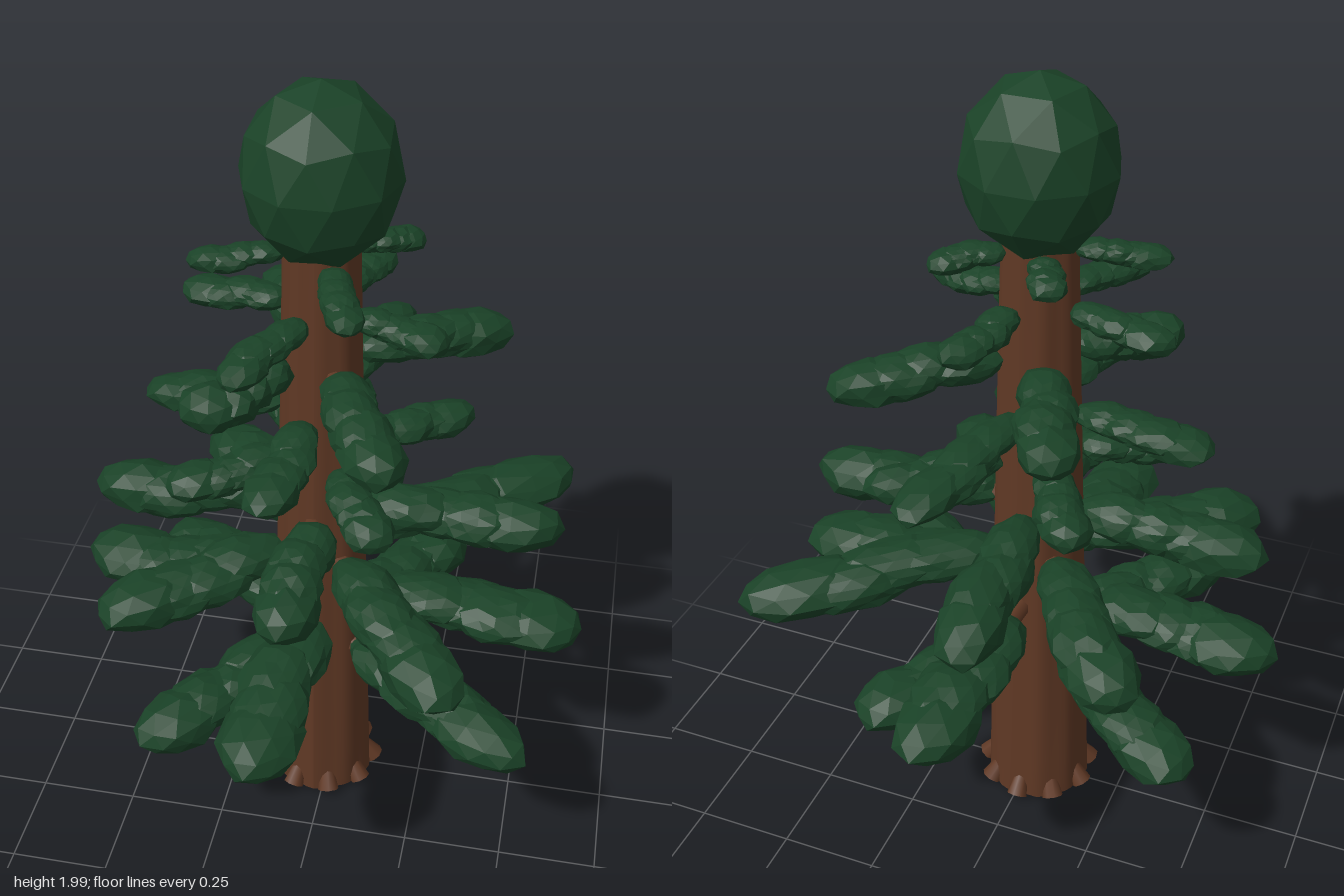
import * as THREE from 'three';

const bark = new THREE.MeshStandardMaterial({ color: 0x5f3824 });
const leaf = new THREE.MeshStandardMaterial({ color: 0x1a4227, flatShading: true });
const CX = -0.02; // trunk axis

// Tiers from bottom to top: height, half height and half width of the boughs,
// bough tips [x, z], and bare stick length before the needles
const TIERS = [
  [0.495, 0.063, 0.088, [[0.54, 0.37], [-0.37, 0.49], [-0.52, -0.36], [0.28, -0.46]]],
  [0.64, 0.062, 0.098, [[0.65, 0.03], [-0.07, 0.67], [-0.65, -0.04], [0.03, -0.67]], 0.05],
  [0.775, 0.065, 0.088, [[0.37, 0.50], [-0.50, 0.36], [-0.39, -0.47], [0.58, -0.46]]],
  [0.9, 0.064, 0.08, [[0.57, -0.03], [-0.03, 0.48], [-0.60, 0.00], [-0.05, -0.61]]],
  [1.05, 0.043, 0.062, [[0.17, 0.31], [-0.36, 0.19], [-0.22, -0.31], [0.31, -0.28]]],
  [1.185, 0.039, 0.065, [[-0.08, 0.42], [-0.46, -0.03], [0.10, -0.53]]],
  [1.315, 0.054, 0.073, [[0.20, 0.41], [-0.28, 0.27], [-0.21, -0.42], [0.39, -0.28]]],
  [1.455, 0.034, 0.052, [[0.28, 0.10], [-0.17, 0.33], [-0.36, -0.06], [0.08, -0.31]]],
  [1.595, 0.028, 0.044, [[0.10, 0.30], [-0.31, 0.07], [-0.12, -0.20], [0.19, -0.15]]],
];

function add(parent, name, geometry, material) {
  const mesh = new THREE.Mesh(geometry, material);
  mesh.name = name;
  parent.add(mesh);
  return mesh;
}

// Faceted ball with a vertex at its top; rough pushes its vertices in and out
function ball(detail, rough = 0, seed = 0) {
  const g = new THREE.IcosahedronGeometry(1, detail);
  g.rotateX(-Math.atan((1 + Math.sqrt(5)) / 2));
  const p = g.attributes.position;
  for (let i = 0; i < p.count; i++) {
    const x = p.getX(i), y = p.getY(i), z = p.getZ(i);
    const f = 1 + rough * Math.sin(11 * x + 17 * y + 23 * z + seed);
    p.setXYZ(i, x * f, y * f, z * f);
  }
  return g;
}

// Tapered trunk with shallow vertical flutes
function trunkGeometry() {
  const g = new THREE.CylinderGeometry(0.086, 0.132, 1.63, 40, 12);
  g.translate(0, 0.83, 0);
  const p = g.attributes.position;
  for (let i = 0; i < p.count; i++) {
    const x = p.getX(i), y = p.getY(i), z = p.getZ(i);
    const a = Math.atan2(z, x);
    const f = 1 + 0.025 * Math.sin(9 * a + 0.8 * y) + 0.015 * Math.sin(5 * a - 2 * y);
    p.setXYZ(i, x * f, y, z * f);
  }
  g.computeVertexNormals();
  return g;
}

// One bough along local +x: a stick carrying overlapping clumps that grow outward
function makeBough(reach, y, h, w, gap, seed) {
  const bough = new THREE.Group();
  bough.name = 'bough';
  const stick = add(bough, 'stick', new THREE.CylinderGeometry(h * 0.3, h * 0.42, reach * 0.75, 7), bark);
  stick.rotation.z = -Math.PI / 2 - 0.04;
  stick.position.set(reach * 0.42, h * 0.1, 0);

  const start = 0.125 - 0.03 * y + gap;
  const span = reach - start;
  const count = 4;
  for (let i = 0; i < count; i++) {
    const t = i / (count - 1);
    const len = span * (0.24 + 0.02 * t);
    const size = 0.84 + 0.16 * t;
    const wobble = Math.sin(seed * 2.3 + i * 2.1);
    const clump = add(bough, 'needleClump', ball(i === count - 1 ? 1 : 2, 0.06, seed + i), leaf);
    clump.scale.set(len, h * size, w * size);
    clump.position.set(
      THREE.MathUtils.lerp(start + len, reach - len, t),
      h * (0.2 - 0.42 * t + 0.1 * wobble),
      i < count - 1 ? wobble * w * 0.12 : 0
    );
    clump.rotation.z = -0.03;
  }
  return bough;
}

export function createModel() {
  const tree = new THREE.Group();
  tree.name = 'coniferTree';

  add(tree, 'trunk', trunkGeometry(), bark).position.x = CX;

  // Root stubs around the foot
  const roots = new THREE.Group();
  roots.name = 'roots';
  roots.position.x = CX;
  for (let i = 0; i < 9; i++) {
    const holder = new THREE.Group();
    holder.rotation.y = (i / 9) * Math.PI * 2 + 0.12;
    const root = add(holder, 'root', new THREE.CylinderGeometry(0.016, 0.028, 0.07, 8), bark);
    root.position.set(0.122, 0.05, 0);
    root.rotation.z = 0.6;
    holder.name = 'rootHolder';
    roots.add(holder);
  }
  tree.add(roots);

  // Boughs, tier by tier
  TIERS.forEach(([y, h, w, tips, gap = 0], n) => {
    const tier = new THREE.Group();
    tier.name = 'boughTier';
    tier.position.set(CX, y, 0);
    tips.forEach(([x, z], i) => {
      const bough = makeBough(Math.hypot(x - CX, z), y, h, w, gap, n * 4 + i);
      bough.rotation.y = -Math.atan2(z, x - CX);
      tier.add(bough);
    });
    tree.add(tier);
  });

  // Rounded crown
  const crown = add(tree, 'crown', ball(1), leaf);
  crown.scale.set(0.182, 0.21, 0.182);
  crown.position.set(CX, 1.79, 0);

  return tree;
}
